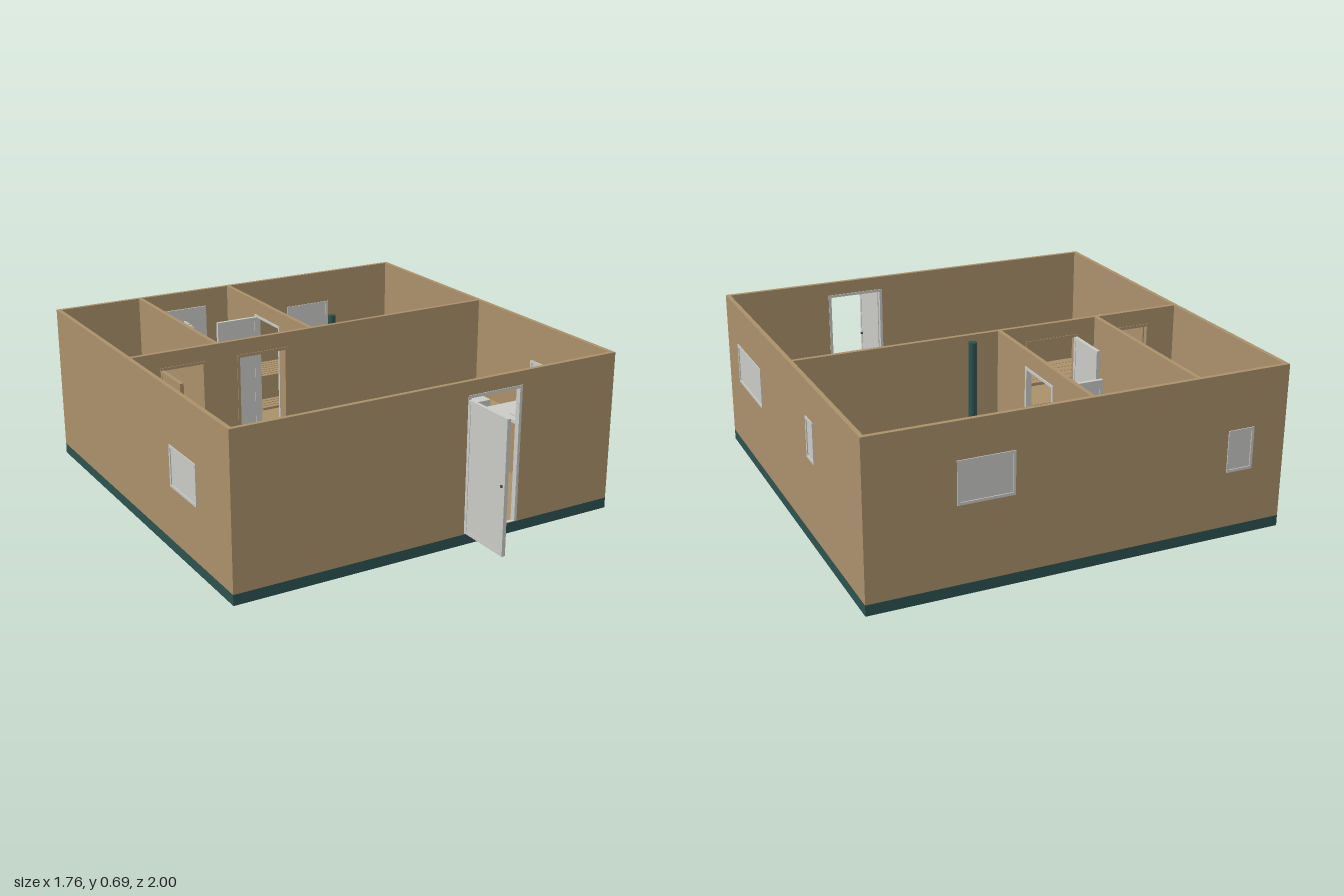
import * as THREE from 'three';
import { RoundedBoxGeometry } from 'three/addons/geometries/RoundedBoxGeometry.js';

const material = (name, color) => Object.assign(new THREE.MeshStandardMaterial({ color }), { name });

export function createModel() {
  const model = new THREE.Group();
  model.name = 'cabin';
  const wood = material('wood', 0xab906b);
  const grey = material('pale grey', 0xc9cac6);
  const green = material('dark green', 0x2c5250);

  const T = 0.018, FLOOR = 0.05, TOP = 0.69, DOOR_TOP = 0.625;

  const add = (name, geo, mat, x = 0, y = 0, z = 0, parent = model) => {
    const m = new THREE.Mesh(geo, mat);
    m.name = name;
    m.position.set(x, y, z);
    parent.add(m);
    return m;
  };
  // Box given by its limits along x, y and z
  const box = (name, mat, x0, x1, y0, y1, z0, z1, parent) =>
    add(name, new THREE.BoxGeometry(x1 - x0, y1 - y0, z1 - z0), mat,
      (x0 + x1) / 2, (y0 + y1) / 2, (z0 + z1) / 2, parent);
  const cyl = (name, mat, r0, r1, h, x, y, z, parent) =>
    add(name, new THREE.CylinderGeometry(r0, r1, h, 20), mat, x, y, z, parent);
  const rect = (P, [u0, u1, v0, v1]) => {
    const p = new P();
    p.moveTo(u0, v0); p.lineTo(u1, v0); p.lineTo(u1, v1); p.lineTo(u0, v1); p.closePath();
    return p;
  };
  // Upright plate with rectangular holes, centred on its plane
  const plate = (outline, holes, depth) => {
    const s = rect(THREE.Shape, outline);
    s.holes = holes.map((h) => rect(THREE.Path, h));
    return new THREE.ExtrudeGeometry(s, { depth, bevelEnabled: false }).translate(0, 0, -depth / 2);
  };
  const inset = ([a, b, c, d], e) => [a + e, b - e, c + e, d - e];

  // Wall along x, or along z when turned, with framed windows and doorways
  const wall = (name, along, at, from, to, windows = [], doors = [], frameMat = grey) => {
    const g = new THREE.Group();
    g.name = name;
    if (along === 'z') { g.rotation.y = -Math.PI / 2; g.position.x = at; } else g.position.z = at;
    add(name + 'Panel', plate([from, to, 0.045, TOP], [...windows, ...doors], T), wood, 0, 0, 0, g);
    windows.forEach((w) => {
      add('windowFrame', plate(w, [inset(w, 0.011)], T + 0.008), grey, 0, 0, 0, g);
      add('windowPane', plate(inset(w, 0.011), [], T), grey, 0, 0, 0, g);
    });
    doors.forEach(([a, b, c, d]) =>
      add('doorFrame', plate([a, b, c, d], [[a + 0.012, b - 0.012, c + 0.002, d - 0.012]], T + 0.006), frameMat, 0, 0, 0, g));
    model.add(g);
  };

  // Base and floors
  box('base', green, -0.875, 0.875, 0, 0.045, -1, 0.75);
  box('hallFloor', wood, -0.86, 0.86, 0.044, FLOOR, -0.18, 0.736);
  box('saunaFloor', wood, -0.025, 0.86, 0.044, FLOOR, -0.986, -0.18);
  box('washFloor', grey, -0.86, -0.025, 0.044, FLOOR, -0.986, -0.18);

  // Outer walls and partitions
  wall('frontWall', 'x', 0.741, -0.875, 0.875, [], [[0.148, 0.406, 0.048, 0.632]]);
  wall('backWall', 'x', -0.991, -0.875, 0.875, [[-0.73, -0.615, 0.28, 0.455], [0.29, 0.52, 0.365, 0.54]]);
  wall('rightWall', 'z', 0.866, -0.982, 0.732, [[0.23, 0.58, 0.34, 0.515], [-0.47, -0.385, 0.37, 0.54]]);
  wall('leftWall', 'z', -0.866, -0.982, 0.732, [[0.22, 0.46, 0.28, 0.455]]);
  wall('crossPartition', 'x', -0.18, -0.857, 0.857, [],
    [[-0.735, -0.53, 0.048, DOOR_TOP], [-0.385, -0.145, 0.048, DOOR_TOP]], wood);
  wall('toiletPartition', 'z', -0.475, -0.982, -0.189);
  wall('saunaPartition', 'z', -0.025, -0.982, -0.189, [], [[-0.69, -0.45, 0.048, DOOR_TOP]]);

  // Open door leaves: hinge point, direction as a turn about y, and width
  const leaf = (name, mat, x, z, turn, width, handleAt = 0.34) => {
    const g = new THREE.Group();
    g.name = name;
    g.position.set(x, 0, z);
    g.rotation.y = turn;
    const o = [0, width, 0.052, 0.615];
    add('leafFrame', plate(o, [inset(o, 0.015)], 0.016), mat, 0, 0, 0, g);
    add('leafPanel', plate(inset(o, 0.015), [], 0.012), mat, 0, 0, 0, g);
    box('handle', green, width - 0.022, width - 0.012, handleAt - 0.004, handleAt + 0.004, -0.014, 0.014, g);
    model.add(g);
  };
  leaf('entranceDoor', grey, 0.155, 0.75, -Math.PI / 2, 0.25);
  leaf('toiletDoor', wood, -0.725, -0.17, -Math.PI / 2, 0.19);
  leaf('washroomDoor', grey, -0.377, -0.19, Math.PI / 2, 0.2);
  leaf('saunaDoor', grey, -0.035, -0.677, Math.PI, 0.2);

  // Slatted surface: count slats running along the given axis
  const slats = (name, along, n, x0, x1, y, z0, z1, th = 0.012, gap = 0.005) => {
    const g = new THREE.Group();
    g.name = name;
    const span = along === 'x' ? z1 - z0 : x1 - x0;
    const w = (span + gap) / n;
    for (let i = 0; i < n; i++) {
      const a = (along === 'x' ? z0 : x0) + i * w, b = a + w - gap;
      if (along === 'x') box('slat', wood, x0, x1, y - th, y, a, b, g);
      else box('slat', wood, a, b, y - th, y, z0, z1, g);
    }
    model.add(g);
  };
  const legs = (x0, x1, y, z0, z1, s = 0.02) => {
    for (const x of [x0, x1 - s]) for (const z of [z0, z1 - s]) box('leg', wood, x, x + s, FLOOR, y, z, z + s);
  };

  // Sauna benches in an L, with a floor grating
  slats('upperBackBench', 'x', 7, -0.012, 0.845, 0.28, -0.98, -0.785);
  slats('upperSideBench', 'z', 6, 0.64, 0.845, 0.28, -0.78, -0.2);
  slats('lowerBackBench', 'x', 4, -0.012, 0.635, 0.165, -0.78, -0.668);
  slats('lowerSideBench', 'z', 4, 0.525, 0.635, 0.165, -0.663, -0.2);
  legs(0, 0.84, 0.268, -0.97, -0.79);
  legs(0.645, 0.84, 0.268, -0.77, -0.205);
  legs(0.53, 0.63, 0.153, -0.66, -0.205);
  slats('floorGrating', 'z', 22, -0.012, 0.52, 0.062, -0.66, -0.195, 0.008, 0.006);

  // Bucket and ladle on the side bench
  add('bucket', new THREE.LatheGeometry([[0, 0], [0.026, 0], [0.034, 0.05], [0.03, 0.05], [0.023, 0.006], [0, 0.006]]
    .map(([x, y]) => new THREE.Vector2(x, y)), 20), wood, 0.74, 0.28, -0.62);
  box('ladle', green, 0.71, 0.775, 0.33, 0.336, -0.624, -0.616);

  // Stove with stones, flue and firebox door into the hall
  box('stoveBody', green, 0.075, 0.205, 0.07, 0.235, -0.345, -0.225);
  add('stoveRim', plate([0.07, 0.21, -0.06, 0.06], [[0.09, 0.19, -0.045, 0.045]], 0.02)
    .rotateX(-Math.PI / 2), green, 0, 0.245, -0.285);
  for (let i = 0; i < 12; i++)
    add('stone', new THREE.IcosahedronGeometry(0.015), green, 0.1 + (i % 4) * 0.026, 0.238, -0.315 + Math.floor(i / 4) * 0.03);
  box('firebox', green, 0.1, 0.185, 0.08, 0.175, -0.23, -0.165);
  box('fireboxHandle', green, 0.165, 0.172, 0.11, 0.14, -0.165, -0.158);
  cyl('flue', green, 0.017, 0.017, 0.455, 0.14, 0.4675, -0.285);
  for (const x of [0.08, 0.18]) for (const z of [-0.34, -0.25]) box('stoveFoot', green, x, x + 0.02, FLOOR, 0.07, z, z + 0.02);
  for (let i = 0; i < 4; i++) box('firewood', wood, 0.25 + i * 0.013, 0.26 + i * 0.013, FLOOR, 0.064, -0.16, -0.115);

  // Dining table, benches and seat cushions
  slats('tableTop', 'x', 5, -0.8, -0.11, 0.255, 0.23, 0.46, 0.014, 0.003);
  legs(-0.77, -0.14, 0.243, 0.25, 0.44, 0.025);
  for (const z of [0.145, 0.55]) {
    slats('bench', 'x', 5, -0.82, -0.09, 0.165, z - 0.065, z + 0.065, 0.012, 0.004);
    legs(-0.8, -0.11, 0.155, z - 0.05, z + 0.05);
    for (const x of [-0.675, -0.235])
      add('cushion', new RoundedBoxGeometry(0.115, 0.022, 0.095, 3, 0.011), grey, x, 0.176, z);
  }
  cyl('lampFoot', grey, 0.022, 0.026, 0.012, -0.455, 0.261, 0.35);
  cyl('lampStem', green, 0.012, 0.015, 0.035, -0.455, 0.284, 0.35);

  // Kitchen counter with sink, and side cabinet
  box('counterBody', wood, 0.685, 0.85, FLOOR, 0.295, 0.18, 0.68);
  box('counterTop', grey, 0.67, 0.845, 0.295, 0.31, 0.17, 0.69);
  add('sinkRim', plate([-0.055, 0.055, -0.055, 0.055], [[-0.04, 0.04, -0.04, 0.04]], 0.008)
    .rotateX(-Math.PI / 2), grey, 0.755, 0.313, 0.355);
  box('sinkBottom', green, 0.715, 0.795, 0.309, 0.312, 0.315, 0.395);
  cyl('tapPost', grey, 0.005, 0.005, 0.05, 0.825, 0.335, 0.355);
  box('tapSpout', grey, 0.76, 0.828, 0.355, 0.362, 0.351, 0.359);
  box('cabinet', wood, 0.67, 0.845, FLOOR, 0.25, -0.12, 0.13);
  box('basin', grey, 0.718, 0.792, 0.25, 0.28, -0.035, 0.035);

  // Toilet
  add('toiletTank', new RoundedBoxGeometry(0.13, 0.11, 0.05, 3, 0.015), grey, -0.68, 0.215, -0.92);
  cyl('toiletFoot', grey, 0.05, 0.038, 0.09, -0.68, 0.095, -0.84);
  cyl('toiletBowl', grey, 0.062, 0.05, 0.03, -0.68, 0.15, -0.815).scale.z = 1.15;
  cyl('toiletSeat', green, 0.05, 0.05, 0.008, -0.68, 0.168, -0.81).scale.z = 1.2;
  cyl('toiletWater', grey, 0.015, 0.015, 0.004, -0.68, 0.173, -0.82);

  // Wash basin
  box('washBasin', grey, -0.6, -0.485, 0.24, 0.28, -0.595, -0.5);
  box('washTap', green, -0.55, -0.49, 0.3, 0.306, -0.55, -0.544);
  cyl('washTapPost', green, 0.005, 0.005, 0.03, -0.493, 0.29, -0.547);

  // Shower tray, back panel, pipe and head
  box('showerTray', grey, -0.41, -0.15, FLOOR, 0.065, -0.975, -0.71);
  box('showerPanel', grey, -0.41, -0.15, 0.065, 0.61, -0.982, -0.975);
  cyl('showerPipe', green, 0.004, 0.004, 0.3, -0.265, 0.4, -0.968);
  box('showerArm', grey, -0.269, -0.261, 0.545, 0.553, -0.97, -0.92);
  cyl('showerHead', grey, 0.012, 0.025, 0.014, -0.265, 0.54, -0.92);

  return model;
}
